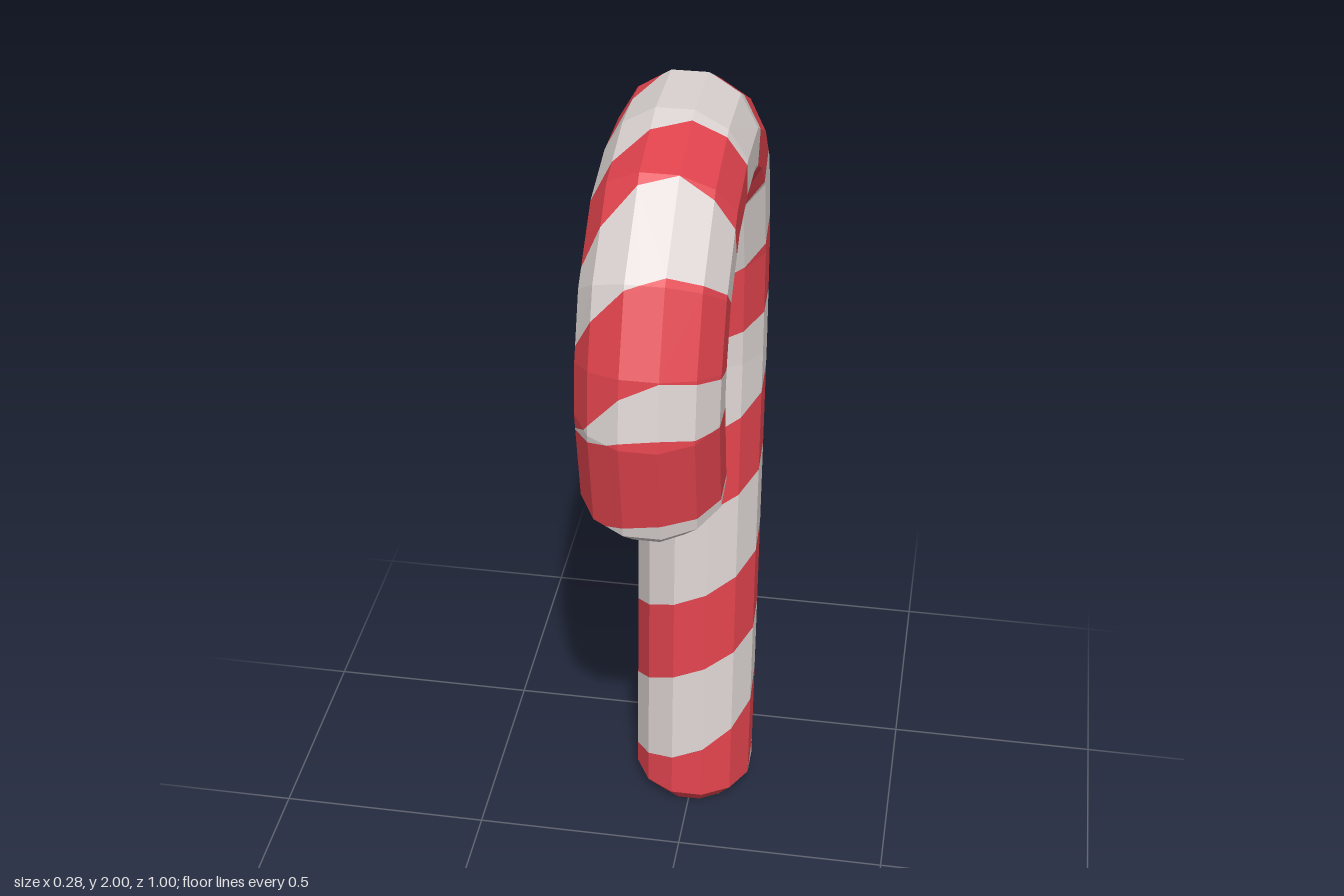
import * as THREE from 'three';

const SIDES = 12;
const RADIUS = 0.146;
const CAP_RADIUS = 0.104;

// Centreline as [z, y], from the foot, up the shaft and over to the hook's tip
const PATH = [
  [-0.262, 0], [-0.265, 0.05], [-0.357, 1.24], [-0.358, 1.5], [-0.308, 1.7], [-0.235, 1.785],
  [-0.11, 1.853], [0.03, 1.857], [0.165, 1.828], [0.29, 1.725], [0.34, 1.61], [0.357, 1.52],
  [0.32, 1.308], [0.31, 1.259],
];

// Lower and upper edge of the spiral stripe, as length along the cane at every half turn
const LOW = [-0.45, -0.2, -0.06, 0.2, 0.42, 0.6, 0.86, 1.05, 1.31, 1.41, 1.7, 1.77, 2.1, 2.13, 2.4, 2.39, 2.66, 2.6, 2.75];
const HIGH = [-0.2, 0.02, 0.17, 0.43, 0.63, 0.84, 1.06, 1.26, 1.47, 1.62, 1.93, 1.91, 2.33, 2.235, 2.55, 2.53, 2.84, 2.8, 3.0];
const TURNS = 9;

function sample(list, t) {
  const c = Math.min(Math.max(t, 0), list.length - 1);
  const i = Math.min(Math.floor(c), list.length - 2);
  return THREE.MathUtils.lerp(list[i], list[i + 1], c - i);
}

// All stripe edges met at one angle, in order along the cane
function edgesAt(angle) {
  const edges = [-9];
  for (let i = 0; i < TURNS; i++) {
    const t = 2 * i + angle / Math.PI;
    edges.push(sample(LOW, t), sample(HIGH, t));
  }
  edges.push(9);
  return edges;
}

// Keep the part of a polygon of [u, s] points where side * (s - edge) >= 0
function clip(poly, e0, e1, side) {
  const dist = ([u, s]) => side * (s - THREE.MathUtils.lerp(e0, e1, u));
  const out = [];
  poly.forEach((a, i) => {
    const b = poly[(i + 1) % poly.length];
    const da = dist(a), db = dist(b);
    if (da >= 0) out.push(a);
    if ((da >= 0) !== (db >= 0)) {
      const t = da / (da - db);
      out.push([a[0] + (b[0] - a[0]) * t, a[1] + (b[1] - a[1]) * t]);
    }
  });
  return out;
}

// Twelve-sided rings set square to the centreline, with their length along it
function makeRings() {
  let length = 0;
  const last = PATH.length - 1;
  return PATH.map(([z, y], i) => {
    if (i > 0) length += Math.hypot(z - PATH[i - 1][0], y - PATH[i - 1][1]);
    const a = PATH[Math.max(i - 1, 0)], b = PATH[Math.min(i + 1, last)];
    const tangent = i < 2 ? new THREE.Vector2(0, 1) : new THREE.Vector2(b[0] - a[0], b[1] - a[1]).normalize();
    const r = i === 0 || i === last ? CAP_RADIUS : RADIUS;
    const points = [];
    for (let k = 0; k <= SIDES; k++) {
      const angle = ((k - 0.5) / SIDES) * Math.PI * 2;
      const c = r * Math.cos(angle);
      points.push(new THREE.Vector3(r * Math.sin(angle), y - tangent.x * c, z + tangent.y * c));
    }
    return { s: length, points, centre: new THREE.Vector3(0, y, z) };
  });
}

function addFan(target, points) {
  for (let i = 1; i < points.length - 1; i++) {
    for (const p of [points[0], points[i], points[i + 1]]) target.push(p.x, p.y, p.z);
  }
}

function makeMesh(name, positions, material) {
  const geometry = new THREE.BufferGeometry();
  geometry.setAttribute('position', new THREE.Float32BufferAttribute(positions, 3));
  geometry.computeVertexNormals();
  const mesh = new THREE.Mesh(geometry, material);
  mesh.name = name;
  return mesh;
}

export function createModel() {
  const red = new THREE.MeshStandardMaterial({ color: 0xe0434d });
  red.name = 'candy red';
  const white = new THREE.MeshStandardMaterial({ color: 0xdcd4d2 });
  white.name = 'sugar white';

  const rings = makeRings();
  const whiteFaces = [], redFaces = [];

  // Each flat facet is cut along the stripe edges
  for (let k = 0; k < SIDES; k++) {
    const e0 = edgesAt(((k - 0.5) / SIDES) * Math.PI * 2);
    const e1 = edgesAt(((k + 0.5) / SIDES) * Math.PI * 2);
    for (let i = 0; i < rings.length - 1; i++) {
      const lo = rings[i], hi = rings[i + 1];
      const toPoint = ([u, s]) => {
        const v = (s - lo.s) / (hi.s - lo.s);
        const p = lo.points[k].clone().lerp(lo.points[k + 1], u);
        const q = hi.points[k].clone().lerp(hi.points[k + 1], u);
        return p.lerp(q, v);
      };
      const facet = [[0, lo.s], [1, lo.s], [1, hi.s], [0, hi.s]];
      for (let j = 0; j < e0.length - 1; j++) {
        let piece = clip(facet, e0[j], e1[j], 1);
        piece = clip(piece, e0[j + 1], e1[j + 1], -1);
        if (piece.length > 2) addFan(j % 2 ? redFaces : whiteFaces, piece.map(toPoint));
      }
    }
  }

  // Flat ends
  const footCap = [], tipCap = [];
  addFan(footCap, rings[0].points.slice(0, SIDES).reverse());
  addFan(tipCap, rings[rings.length - 1].points.slice(0, SIDES));

  const cane = new THREE.Group();
  cane.name = 'candyCane';
  cane.add(
    makeMesh('whiteStripes', whiteFaces, white),
    makeMesh('redStripes', redFaces, red),
    makeMesh('footCap', footCap, red),
    makeMesh('hookTipCap', tipCap, white),
  );
  return cane;
}
